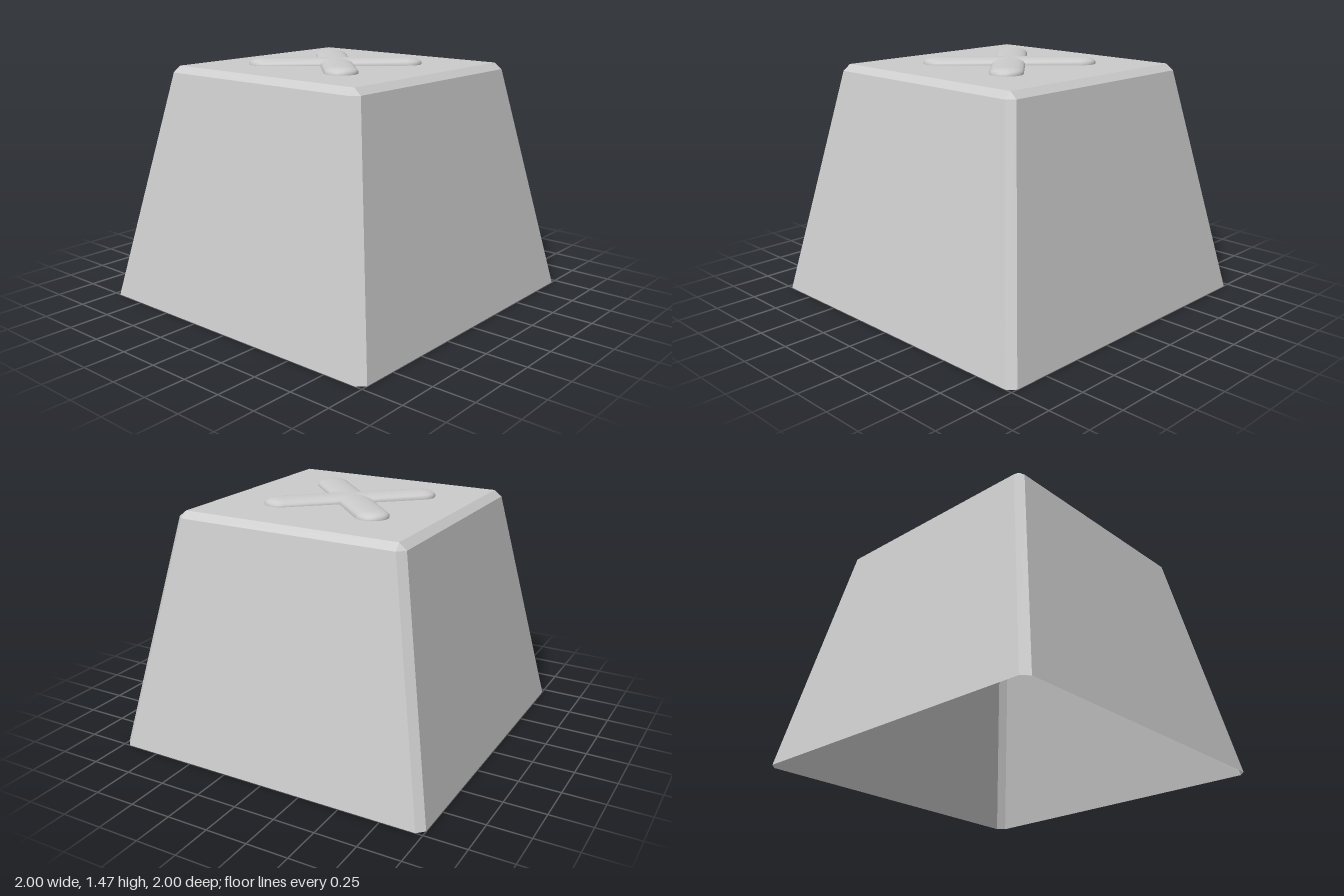
import * as THREE from 'three';

const grey = () => new THREE.MeshStandardMaterial({ color: 0xcccccc, side: THREE.DoubleSide });

// Skin a stack of rings (counter-clockwise from above, bottom to top) and cap the last one.
function loft(rings) {
  const n = rings[0].length;
  const points = rings.flat();
  const index = [];
  const tri = (a, b, c) => {
    const same = (p, q) => points[p].distanceTo(points[q]) < 1e-6;
    if (!same(a, b) && !same(b, c) && !same(c, a)) index.push(a, b, c);
  };
  const last = (rings.length - 1) * n;
  const centre = new THREE.Vector3();
  rings[rings.length - 1].forEach((p) => centre.addScaledVector(p, 1 / n));
  points.push(centre);
  for (let i = 0; i < n; i++) {
    const j = (i + 1) % n;
    for (let k = 0; k < last; k += n) {
      tri(k + i, k + j, k + n + j);
      tri(k + i, k + n + j, k + n + i);
    }
    tri(points.length - 1, last + i, last + j);
  }
  const geometry = new THREE.BufferGeometry().setFromPoints(points);
  geometry.setIndex(index);
  return geometry;
}

// Square ring with cut corners.
function squareRing(half, cut, y) {
  const ring = [];
  for (let q = 0; q < 4; q++) {
    for (const [x, z] of [[half, -(half - cut)], [half - cut, -half]]) {
      ring.push(new THREE.Vector3(x, y, z).applyAxisAngle(new THREE.Vector3(0, 1, 0), q * Math.PI / 2));
    }
  }
  return ring;
}

// Stadium ring lying along x.
function stadiumRing(halfLength, radius, y, steps = 10) {
  const ring = [];
  for (const side of [1, -1]) {
    for (let i = 0; i <= steps; i++) {
      const a = -Math.PI / 2 + Math.PI * i / steps;
      ring.push(new THREE.Vector3(side * (halfLength + radius * Math.cos(a)), y, -side * radius * Math.sin(a)));
    }
  }
  return ring;
}

export function createModel() {
  const group = new THREE.Group();

  // Tapered hollow cap with bevelled edges, open underneath
  const shell = loft([
    squareRing(1, 0.042, 0),
    squareRing(0.722, 0.042, 1.395),
    squareRing(0.676, 0, 1.432),
  ]).toNonIndexed();
  shell.computeVertexNormals();
  const cap = new THREE.Mesh(shell, grey());
  cap.material.flatShading = true;
  cap.name = 'capShell';
  group.add(cap);

  // Raised cross: two softly domed strokes
  const topY = 1.43;
  const radius = 0.098;
  const profile = [[0, 0], [0, 0.014], [0.01, 0.025], [0.03, 0.034], [0.055, 0.039], [0.085, 0.041]];
  const strokes = [['crossStrokeBackLeft', 0.283, 0.314], ['crossStrokeBackRight', 0.301, -0.298]];
  for (const [name, dx, dz] of strokes) {
    const geometry = loft(profile.map(([inset, h]) => stadiumRing(Math.hypot(dx, dz), radius - inset, h)));
    geometry.computeVertexNormals();
    const stroke = new THREE.Mesh(geometry, grey());
    stroke.name = name;
    stroke.position.set(-0.012, topY, -0.02);
    stroke.rotation.y = -Math.atan2(dz, dx);
    group.add(stroke);
  }
  return group;
}
